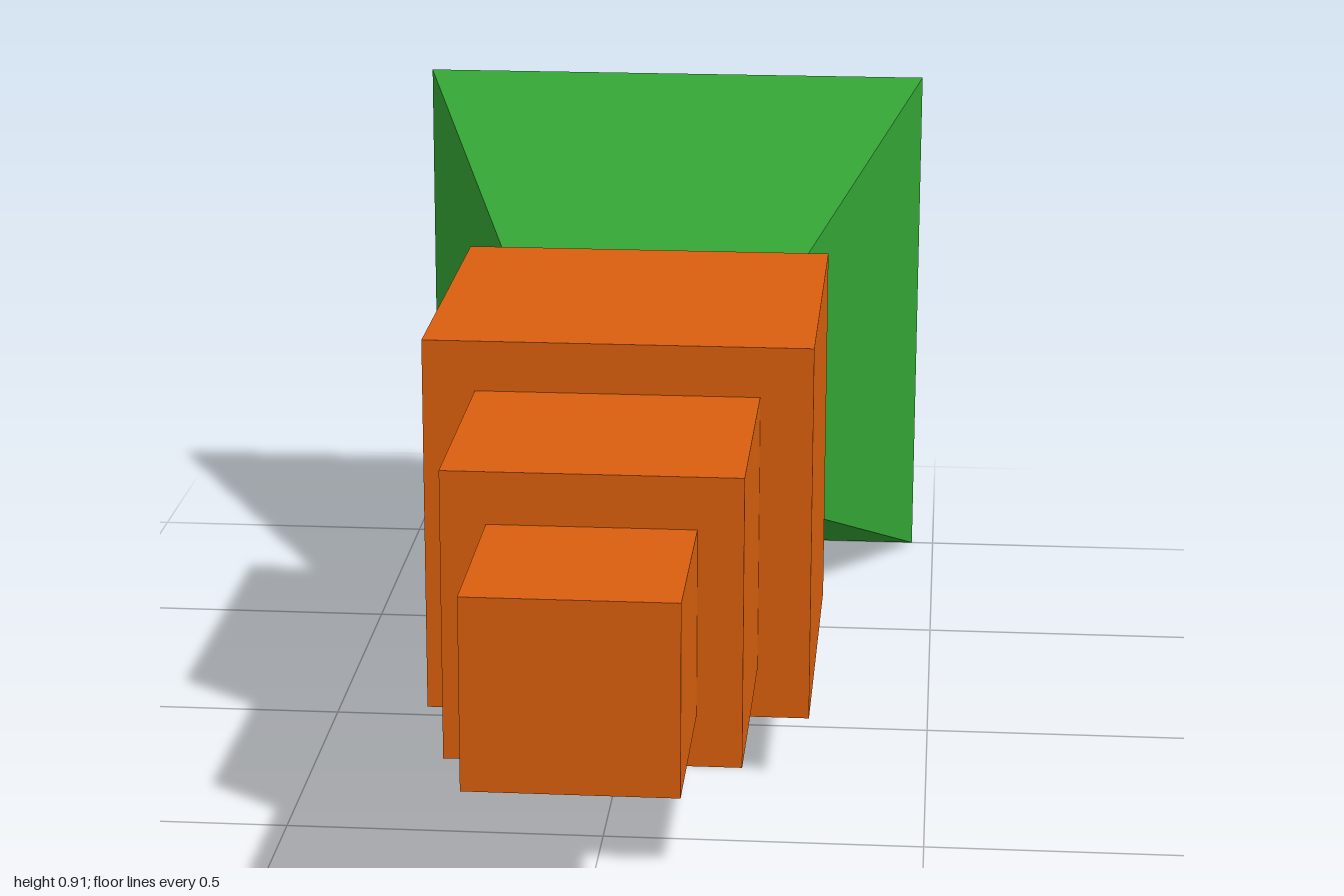
import * as THREE from 'three';

export function createModel() {
  const group = new THREE.Group();
  const orange = new THREE.MeshStandardMaterial({ color: 0xd95f0e, flatShading: true });
  const green = new THREE.MeshStandardMaterial({ color: 0x33a333, flatShading: true });

  const add = (name, geometry, material, y, zBack, zFront) => {
    const mesh = new THREE.Mesh(geometry, material);
    mesh.name = name;
    mesh.position.set(0, y, (zBack + zFront) / 2);
    group.add(mesh);
  };

  // Three body blocks, stepping down in size towards the front
  const blocks = [
    ['bodyBlock', 0.62, 0.618, -0.37, 0.247],
    ['middleBlock', 0.452, 0.455, 0.247, 0.673],
    ['noseBlock', 0.314, 0.292, 0.673, 1],
  ];
  for (const [name, width, height, zBack, zFront] of blocks) {
    add(name, new THREE.BoxGeometry(width, height, zFront - zBack), orange, 0.419, zBack, zFront);
  }

  // Flared tail: a box whose front end is narrowed
  const tail = new THREE.BoxGeometry(0.92, 0.912, 0.63);
  const p = tail.attributes.position;
  for (let i = 0; i < p.count; i++) {
    if (p.getZ(i) > 0) p.setXY(i, Math.sign(p.getX(i)) * 0.224, Math.sign(p.getY(i)) * 0.187);
  }
  tail.computeVertexNormals();
  add('flaredTail', tail, green, 0.456, -1, -0.37);

  return group;
}
